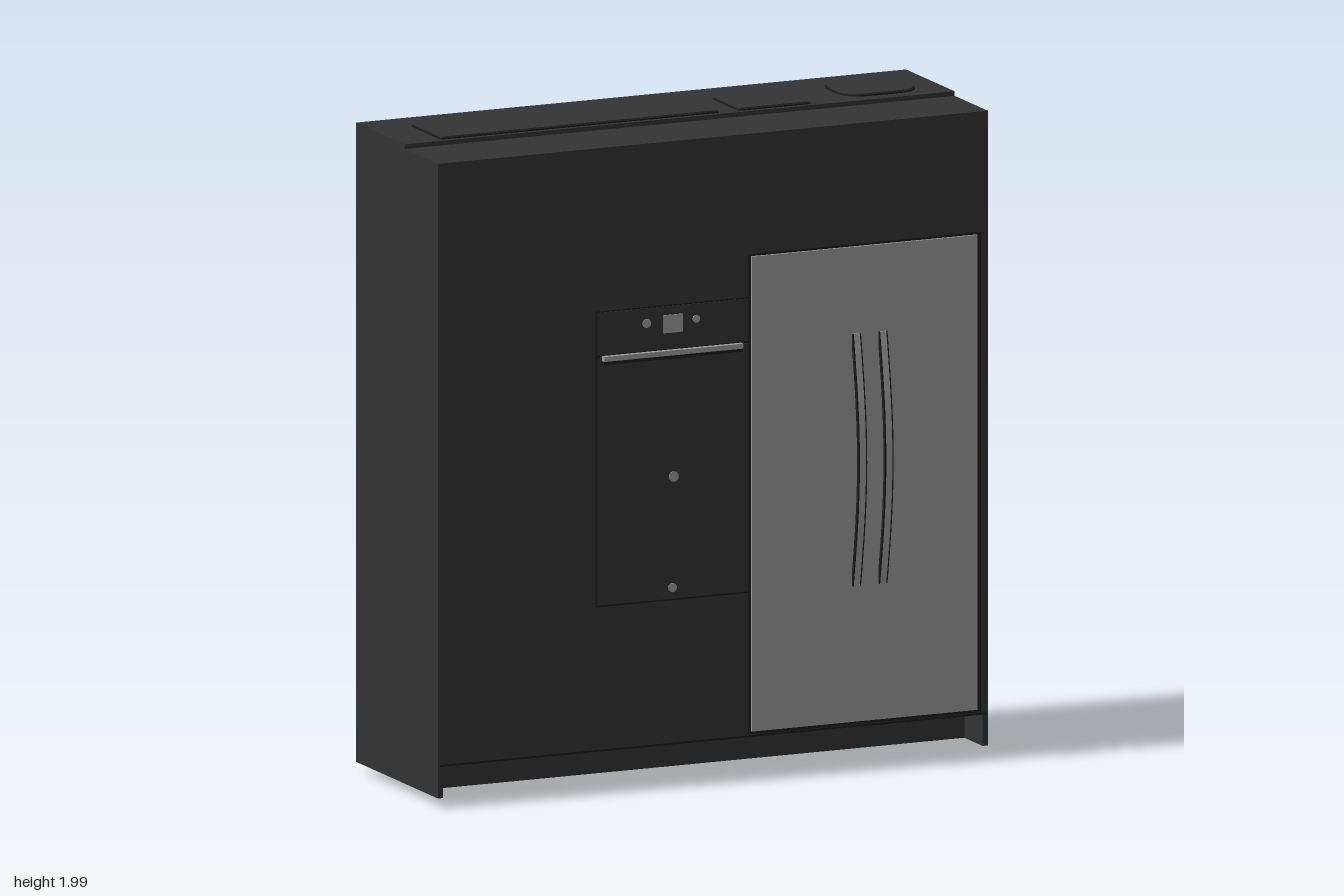
import * as THREE from 'three';

export function createModel() {
  const root = new THREE.Group();
  root.name = 'kitchenCabinetWall';

  const charcoal = new THREE.MeshStandardMaterial({ color: 0x333333 });
  charcoal.name = 'charcoal cabinet';
  const steel = new THREE.MeshStandardMaterial({ color: 0x9c9c9c });
  steel.name = 'brushed steel';
  const black = new THREE.MeshStandardMaterial({ color: 0x1c1c1c });
  black.name = 'black seam';

  const add = (name, geometry, material, parent = root) => {
    const mesh = new THREE.Mesh(geometry, material);
    mesh.name = name;
    parent.add(mesh);
    return mesh;
  };
  // Box given by its minimum and maximum on each axis
  const box = (name, x0, x1, y0, y1, z0, z1, material, parent = root) => {
    const mesh = add(name, new THREE.BoxGeometry(x1 - x0, y1 - y0, z1 - z0), material, parent);
    mesh.position.set((x0 + x1) / 2, (y0 + y1) / 2, (z0 + z1) / 2);
    return mesh;
  };

  // Carcass: closed upper block over an open-bottomed, recessed plinth
  box('cabinetBody', -0.905, 0.905, 0.135, 1.978, -0.31, 0.27, charcoal);
  for (const s of [-1, 1]) {
    const a = s * 0.905, b = s * 0.888;
    box('plinthSide', Math.min(a, b), Math.max(a, b), 0.04, 0.135, -0.31, 0.27, charcoal);
  }
  box('plinthBack', -0.888, 0.888, 0.04, 0.135, -0.31, -0.295, charcoal);
  box('toeKick', -0.888, 0.888, 0.04, 0.135, 0.125, 0.14, charcoal);
  box('bottomSeam', -0.9, 0.9, 0.136, 0.142, 0.27, 0.272, black);

  // Raised rear part of the top, with shallow access covers
  box('topRiser', -0.905, 0.905, 1.978, 1.992, -0.31, 0.035, charcoal);
  const cover = (x0, x1, z0, z1, r) => {
    const rounded = (inset) => {
      const a = x0 + inset, b = x1 - inset, c = -z1 + inset, d = -z0 - inset, q = Math.max(r - inset, 0.004);
      const s = new THREE.Shape();
      s.moveTo(a + q, c);
      s.lineTo(b - q, c).quadraticCurveTo(b, c, b, c + q);
      s.lineTo(b, d - q).quadraticCurveTo(b, d, b - q, d);
      s.lineTo(a + q, d).quadraticCurveTo(a, d, a, d - q);
      s.lineTo(a, c + q).quadraticCurveTo(a, c, a + q, c);
      return s;
    };
    const plate = (name, inset, depth, material) => {
      const g = new THREE.ExtrudeGeometry(rounded(inset), { depth, bevelEnabled: false, curveSegments: 6 });
      g.rotateX(-Math.PI / 2);
      add(name, g, material).position.y = 1.992;
    };
    plate('coverSeam', 0, 0.004, black);
    plate('topCover', 0.005, 0.008, charcoal);
  };
  cover(-0.78, 0.14, -0.19, 0.02, 0.01);
  cover(0.2, 0.44, -0.17, 0.02, 0.01);
  cover(0.57, 0.82, -0.22, -0.01, 0.08);

  // Refrigerator door with a dark gasket line
  const fridge = new THREE.Group();
  fridge.name = 'refrigerator';
  root.add(fridge);
  box('doorGasket', 0.115, 0.88, 0.145, 1.612, 0.27, 0.276, black, fridge);
  box('refrigeratorDoor', 0.122, 0.865, 0.155, 1.605, 0.27, 0.284, steel, fridge);

  // Pair of bowed handles, a curved strip extruded across x
  const bow = new THREE.Shape();
  bow.moveTo(0.28, 0.57);
  bow.quadraticCurveTo(0.384, 0.955, 0.28, 1.34);
  bow.lineTo(0.296, 1.34);
  bow.lineTo(0.298, 1.335);
  bow.quadraticCurveTo(0.362, 0.955, 0.298, 0.575);
  // Same bow with constant thickness, from an outer and an inner arc
  const strip = new THREE.Shape();
  const N = 16;
  const arc = (t, out) => [0.277 + 0.044 * Math.sin(Math.PI * t) + out, 0.57 + 0.77 * t];
  strip.moveTo(...arc(0, 0));
  for (let i = 1; i <= N; i++) strip.lineTo(...arc(i / N, 0));
  for (let i = N; i >= 0; i--) strip.lineTo(...arc(i / N, 0.012));
  strip.closePath();
  for (const x of [0.465, 0.552]) {
    const g = new THREE.ExtrudeGeometry(strip, { depth: 0.02, bevelEnabled: false });
    g.rotateY(-Math.PI / 2);
    add('doorHandle', g, steel, fridge).position.x = x + 0.01;
    // Dark edges along both flanks
    for (const s of [-1, 1]) {
      const e = new THREE.ExtrudeGeometry(strip, { depth: 0.004, bevelEnabled: false });
      e.rotateY(-Math.PI / 2);
      add('handleEdge', e, black, fridge).position.x = x + 0.002 + s * 0.012;
    }
  }

  // Built-in oven: outline seams, control panel, bar handle
  const oven = new THREE.Group();
  oven.name = 'oven';
  root.add(oven);
  box('ovenSeam', -0.387, 0.115, 0.577, 1.48, 0.27, 0.2715, black, oven);
  box('controlPanel', -0.383, 0.115, 1.346, 1.476, 0.27, 0.274, charcoal, oven);
  box('ovenDoor', -0.383, 0.115, 0.582, 1.34, 0.27, 0.274, charcoal, oven);
  box('ovenHandle', -0.37, 0.088, 1.33, 1.345, 0.28, 0.297, steel, oven);
  box('handleUnderside', -0.37, 0.088, 1.32, 1.33, 0.28, 0.295, black, oven);
  for (const x of [-0.35, 0.055]) box('handleMount', x, x + 0.015, 1.325, 1.342, 0.27, 0.282, steel, oven);

  // Display, knobs and small round markers
  box('display', -0.165, -0.102, 1.395, 1.45, 0.274, 0.277, steel, oven);
  for (const [x, y, r] of [[-0.22, 1.43, 0.014], [-0.057, 1.43, 0.012], [-0.131, 0.955, 0.016], [-0.135, 0.616, 0.014]]) {
    const disc = add('roundMarker', new THREE.CylinderGeometry(r, r, 0.004, 12), steel, oven);
    disc.rotation.x = Math.PI / 2;
    disc.position.set(x, y, 0.275);
  }

  // Small pegs under the back edge
  for (const x of [-0.79, -0.6, -0.49, -0.27, 0.22, 0.32, 0.55, 0.69]) {
    box('footPeg', x - 0.011, x + 0.011, 0.01, 0.026, -0.318, -0.298, black);
  }

  return root;
}
